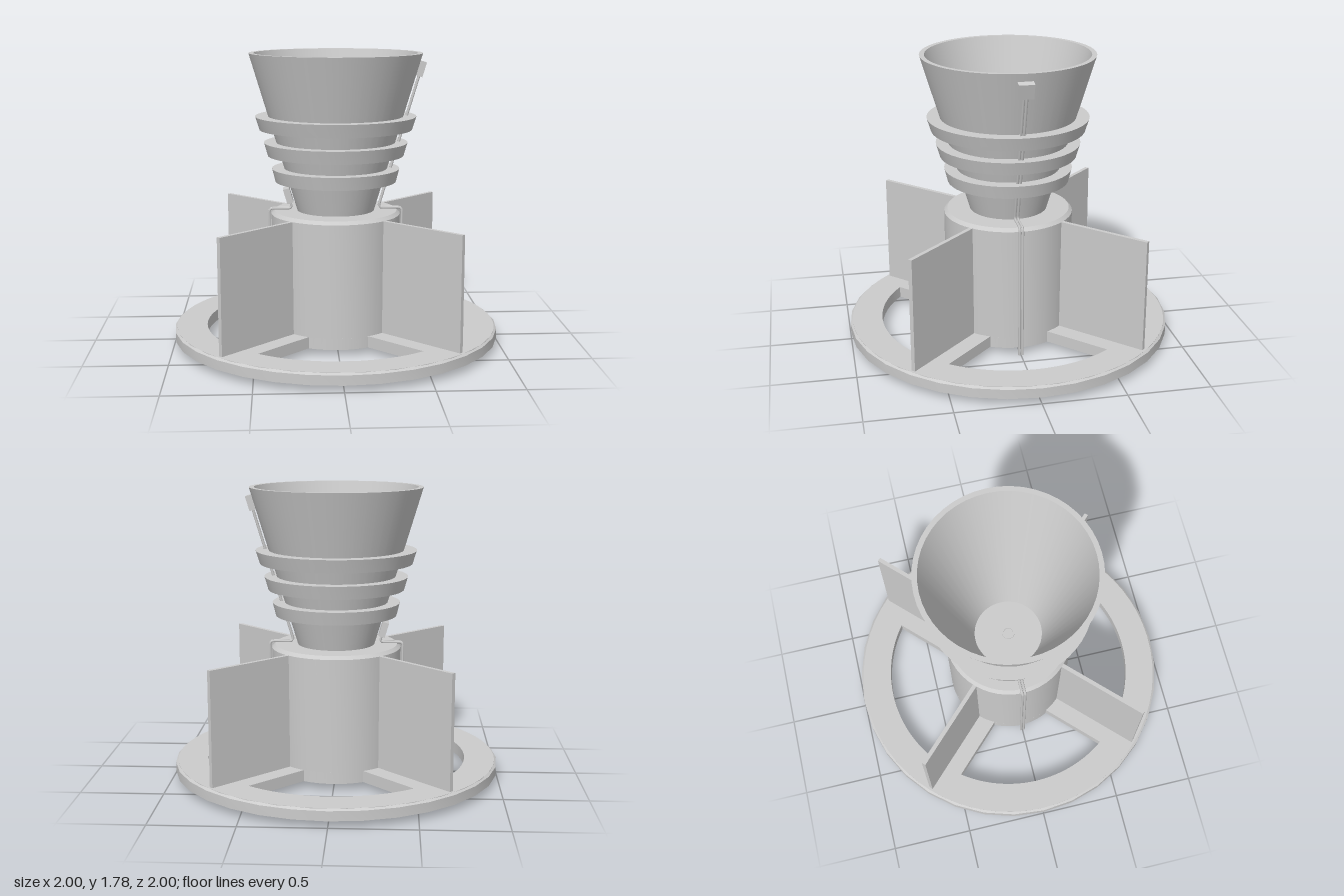
import * as THREE from 'three';
import { toCreasedNormals } from 'three/addons/utils/BufferGeometryUtils.js';

const material = new THREE.MeshStandardMaterial({ color: 0xcccccc });

function add(parent, name, geometry) {
  const mesh = new THREE.Mesh(geometry, material);
  mesh.name = name;
  parent.add(mesh);
  return mesh;
}

// Revolved profile of [radius, height] pairs with crisp edges
function lathe(profile, segments = 32) {
  const points = profile.map(([r, y]) => new THREE.Vector2(r, y));
  return toCreasedNormals(new THREE.LatheGeometry(points, segments), 0.5);
}

// Wheel-like plate with four windows between diagonal spokes
function plateGeometry() {
  const shape = new THREE.Shape().absarc(0, 0, 0.985, 0, Math.PI * 2, false);
  const outer = 0.8, inner = 0.39, half = 0.12;
  const a = Math.asin(half / outer), b = Math.asin(half / inner);
  for (let i = 0; i < 4; i++) {
    const start = Math.PI / 4 + i * Math.PI / 2, end = start + Math.PI / 2;
    const hole = new THREE.Path();
    hole.absarc(0, 0, outer, start + a, end - a, false);
    hole.absarc(0, 0, inner, end - b, start + b, true);
    hole.closePath();
    shape.holes.push(hole);
  }
  const geometry = new THREE.ExtrudeGeometry(shape, { depth: 0.07, bevelEnabled: false, curveSegments: 32 });
  geometry.rotateX(-Math.PI / 2).translate(0, 0.04, 0);
  return toCreasedNormals(geometry, 0.5);
}

// Path through 2D points with rounded corners
function wirePath(points, z, bend = 0.025) {
  const p = points.map(([x, y]) => new THREE.Vector3(x, y, z));
  const path = new THREE.CurvePath();
  let from = p[0];
  for (let i = 1; i < p.length - 1; i++) {
    const before = p[i].clone().add(p[i - 1].clone().sub(p[i]).setLength(bend));
    const after = p[i].clone().add(p[i + 1].clone().sub(p[i]).setLength(bend));
    path.add(new THREE.LineCurve3(from, before));
    path.add(new THREE.QuadraticBezierCurve3(before, p[i], after));
    from = after;
  }
  path.add(new THREE.LineCurve3(from, p[p.length - 1]));
  return path;
}

// Pair of wires ending in a small tilted block
function addCable(parent, name, points, blockX, blockY, tilt) {
  const cable = new THREE.Group();
  cable.name = name;
  for (const z of [-0.009, 0.009]) {
    add(cable, 'wire', new THREE.TubeGeometry(wirePath(points, z), 120, 0.008, 6, false));
  }
  const block = add(cable, 'connectorBlock', new THREE.BoxGeometry(0.04, 0.092, 0.092));
  block.position.set(blockX, blockY, 0);
  block.rotation.z = tilt;
  parent.add(cable);
}

export function createModel() {
  const model = new THREE.Group();
  model.name = 'finnedNozzle';

  // Base wheel with a chamfered rim
  add(model, 'basePlate', plateGeometry());
  add(model, 'baseRim', lathe([[0.985, 0.04], [1, 0.04], [1, 0.098], [0.985, 0.11]]));

  // Central drum
  add(model, 'coreDrum', lathe([[0.39, 0.042], [0.395, 0.8], [0.375, 0.82], [0, 0.82]], 48));

  // Four upright diagonal fins
  for (let i = 0; i < 4; i++) {
    const geometry = new THREE.BoxGeometry(0.61, 0.69, 0.025).translate(0.665, 0.455, 0);
    add(model, 'fin', geometry).rotation.y = Math.PI / 4 + i * Math.PI / 2;
  }

  // Flared bell, open at the top
  add(model, 'bell', lathe([[0.235, 0.815], [0.525, 1.78], [0.495, 1.78], [0.208, 0.815]], 48));
  add(model, 'throatRing', lathe([[0.03, 0.82], [0.04, 0.82], [0.04, 0.828], [0.03, 0.828], [0.03, 0.82]], 24));

  // Stiffening bands around the bell
  for (const [y, bottom, top] of [[1.0, 0.37, 0.39], [1.16, 0.415, 0.438], [1.32, 0.465, 0.49]]) {
    const inside = 0.225 + (y - 0.82) * 0.3;
    add(model, 'bellBand', lathe([[inside, y], [bottom, y], [top, y + 0.08], [inside + 0.024, y + 0.08]], 48));
  }

  // Long cable up the left side, short one on the right
  const tilt = -Math.atan(0.3);
  addCable(model, 'leftCable', [[0.41, 0], [0.41, 0.83], [0.262, 0.83], [0.51, 1.655]], 0.515, 1.683, tilt);
  addCable(model, 'rightCable', [[-0.41, 0], [-0.41, 0.83], [-0.268, 0.83], [-0.288, 0.895]], -0.292, 0.912, -tilt);

  return model;
}
